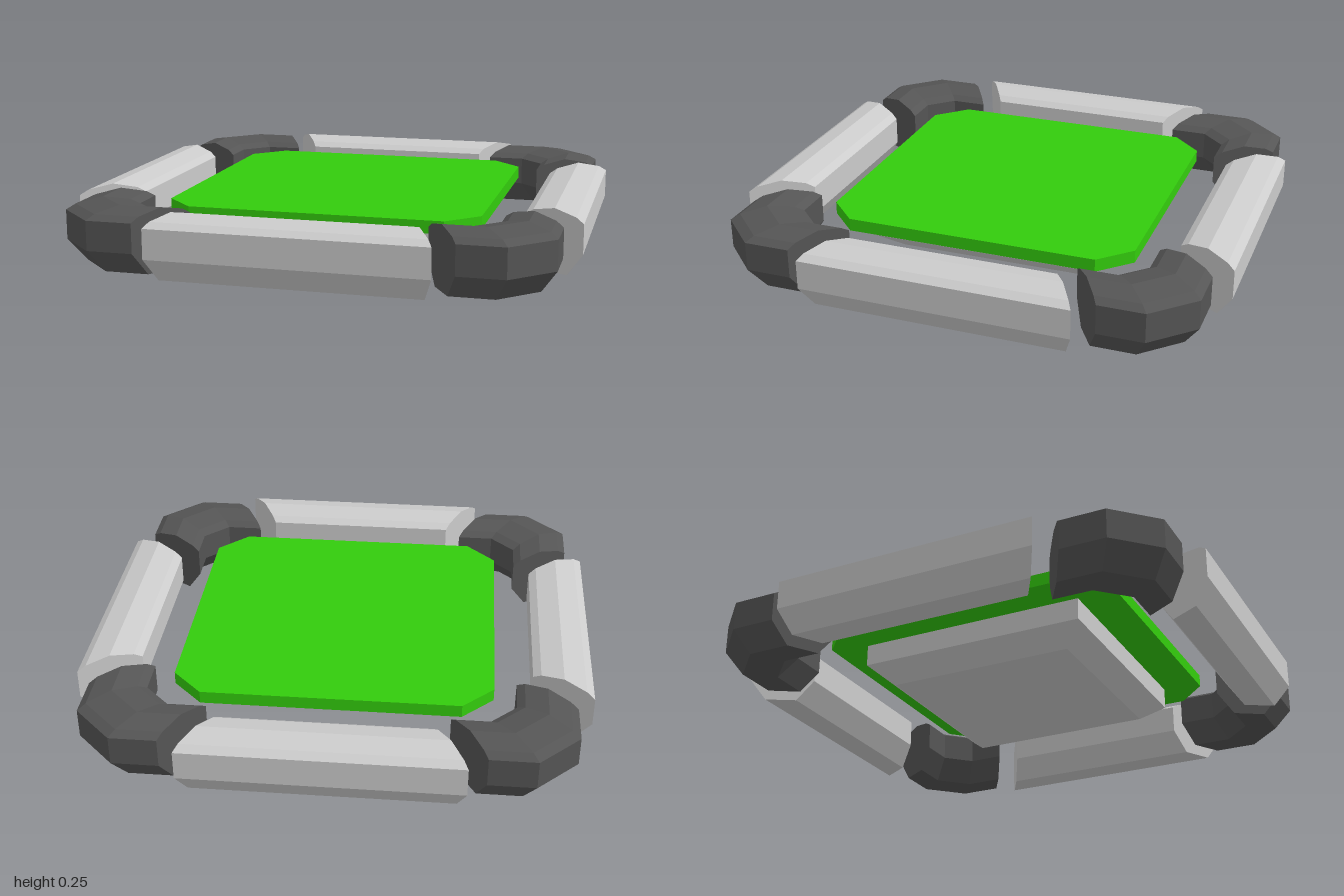
import * as THREE from 'three';

const material = (color) => new THREE.MeshStandardMaterial({ color, flatShading: true });

// Rail cross-section as [inward offset from outer face, height], counterclockwise
const PROFILE = [
  [0.17, 0], [0.06, 0], [0, 0.09], [0, 0.205], [0.03, 0.225],
  [0.115, 0.245], [0.2, 0.225], [0.23, 0.205], [0.23, 0.09],
];

// Joins equal rings of points into a solid with closed ends
function loft(rings) {
  const positions = [];
  const tri = (...corners) => corners.forEach((p) => positions.push(...p));
  const n = rings[0].length;
  for (let i = 0; i < rings.length - 1; i++) {
    for (let j = 0; j < n; j++) {
      const k = (j + 1) % n;
      const a = rings[i][j], b = rings[i][k], c = rings[i + 1][k], d = rings[i + 1][j];
      tri(b, a, d);
      tri(b, d, c);
    }
  }
  const first = rings[0], last = rings[rings.length - 1];
  for (let j = 1; j < n - 1; j++) {
    tri(first[0], first[j], first[j + 1]);
    tri(last[0], last[j + 1], last[j]);
  }
  const geometry = new THREE.BufferGeometry();
  geometry.setAttribute('position', new THREE.Float32BufferAttribute(positions, 3));
  geometry.computeVertexNormals();
  return geometry;
}

// Straight rail with angled ends, lying along the front edge
function sideRailGeometry() {
  return loft([-1, 1].map((side) =>
    PROFILE.map(([t, y]) => [side * (0.53 - 0.575 * t), y, 1 - t])));
}

// Corner rail: three straight runs around the +x +z corner
function cornerRailGeometry() {
  const end = (t) => 0.6 - 0.61 * t;
  const bend = (t) => 0.78 - 0.75 * t;
  const path = [
    (t, d) => [end(t), d], (t, d) => [bend(t), d],
    (t, d) => [d, bend(t)], (t, d) => [d, end(t)],
  ];
  return loft(path.map((at) => PROFILE.map(([t, y]) => {
    const [x, z] = at(t, 0.935 - t);
    return [x, y, z];
  })));
}

export function createModel() {
  const group = new THREE.Group();
  const grey = material(0xcccccc);
  const dark = material(0x555555);
  const green = material(0x33cc0d);
  const add = (name, geometry, mat) => {
    const mesh = new THREE.Mesh(geometry, mat);
    mesh.name = name;
    group.add(mesh);
    return mesh;
  };

  // Ring of rails around the plate
  const side = sideRailGeometry();
  const corner = cornerRailGeometry();
  for (let i = 0; i < 4; i++) {
    add('sideRail', side, grey).rotation.y = i * Math.PI / 2;
    add('cornerRail', corner, dark).rotation.y = i * Math.PI / 2;
  }

  // Square base with a bevelled foot
  const basePoints = [[0, 0], [0.38, 0], [0.467, 0.07], [0.467, 0.157], [0, 0.157]]
    .map(([h, y]) => new THREE.Vector2(h * Math.SQRT2, y));
  add('base', new THREE.LatheGeometry(basePoints, 4, Math.PI / 4), grey);

  // Green plate with cut corners
  const h = 0.62, c = 0.5;
  const outline = new THREE.Shape(
    [[h, -c], [h, c], [c, h], [-c, h], [-h, c], [-h, -c], [-c, -h], [c, -h]]
      .map(([x, y]) => new THREE.Vector2(x, y)));
  const plate = new THREE.ExtrudeGeometry(outline, { depth: 0.05, bevelEnabled: false });
  plate.rotateX(-Math.PI / 2).translate(0, 0.157, 0);
  add('plate', plate, green);

  return group;
}
